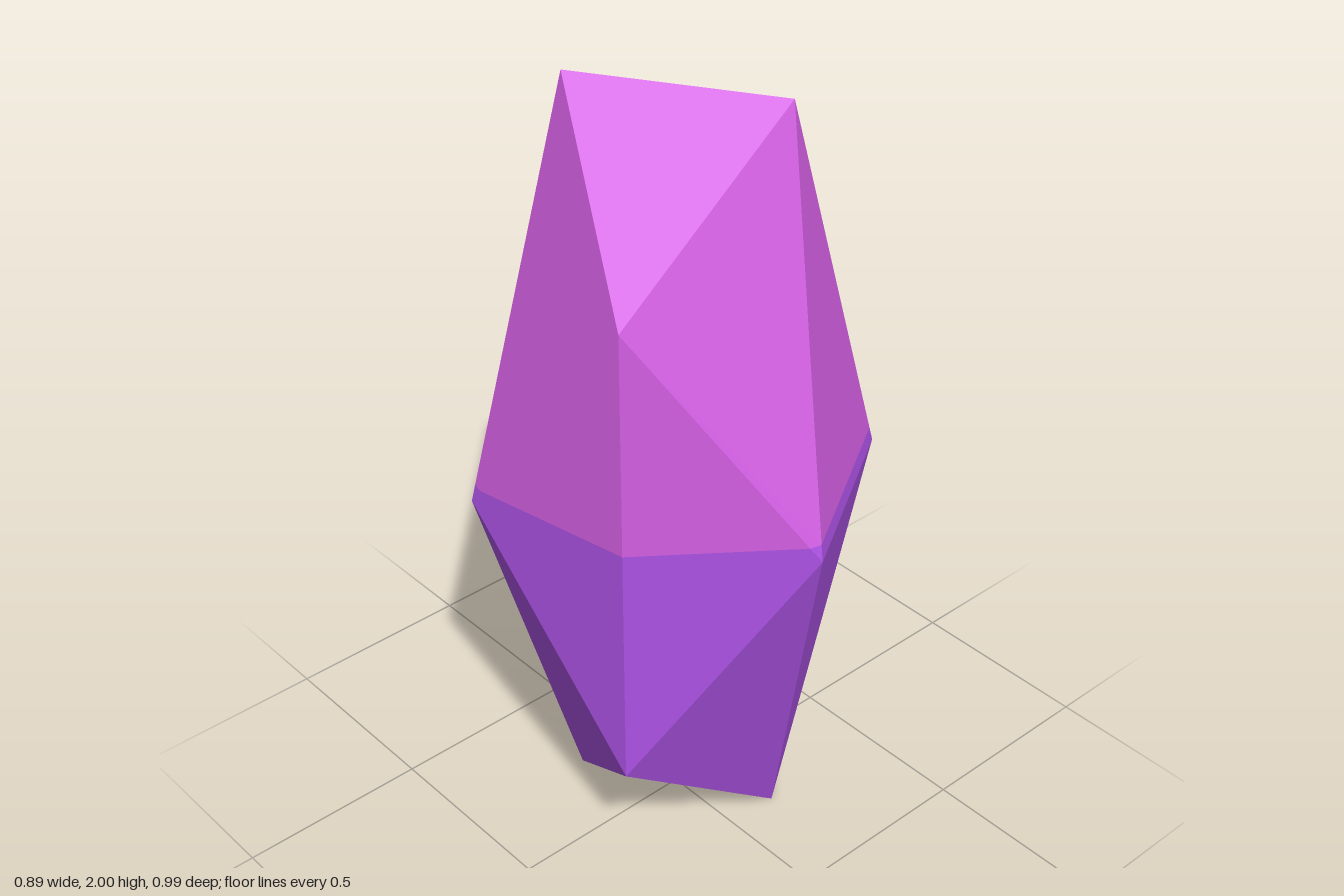
import * as THREE from 'three';

const SPLIT = 1.04; // height where the two crystal colours meet

// Keep the part of a polygon above (side = 1) or below (side = -1) the split
function clip(points, side) {
  const kept = [];
  points.forEach((a, i) => {
    const b = points[(i + 1) % points.length];
    const da = (a.y - SPLIT) * side, db = (b.y - SPLIT) * side;
    if (da >= 0) kept.push(a);
    if (da * db < 0) kept.push(a.clone().lerp(b, da / (da - db)));
  });
  return kept;
}

// Fan-triangulate the clipped faces into one faceted mesh
function crystalPart(faces, side, material, name) {
  const coords = [];
  for (const face of faces) {
    const p = clip(face, side);
    for (let i = 1; i < p.length - 1; i++) {
      for (const v of [p[0], p[i], p[i + 1]]) coords.push(v.x, v.y, v.z);
    }
  }
  const geometry = new THREE.BufferGeometry();
  geometry.setAttribute('position', new THREE.Float32BufferAttribute(coords, 3));
  geometry.computeVertexNormals();
  const mesh = new THREE.Mesh(geometry, material);
  mesh.name = name;
  return mesh;
}

export function createModel() {
  const pink = new THREE.MeshStandardMaterial({ color: 0xd45fe4 });
  pink.name = 'orchid pink';
  const purple = new THREE.MeshStandardMaterial({ color: 0xac52e4 });
  purple.name = 'violet';

  // Icosahedron turned about the vertical and stretched tall
  const gem = new THREE.IcosahedronGeometry(1, 0);
  gem.rotateY(-Math.atan((1 + Math.sqrt(5)) / 2));
  gem.scale(0.497, 1.1756, 0.497);
  gem.translate(0, 1, 0);

  const pos = gem.getAttribute('position');
  const faces = [];
  for (let i = 0; i < pos.count; i += 3) {
    faces.push([0, 1, 2].map((k) => new THREE.Vector3().fromBufferAttribute(pos, i + k)));
  }

  const group = new THREE.Group();
  group.name = 'crystal';
  group.add(crystalPart(faces, 1, pink, 'upperCrystal'));
  group.add(crystalPart(faces, -1, purple, 'lowerCrystal'));
  return group;
}
